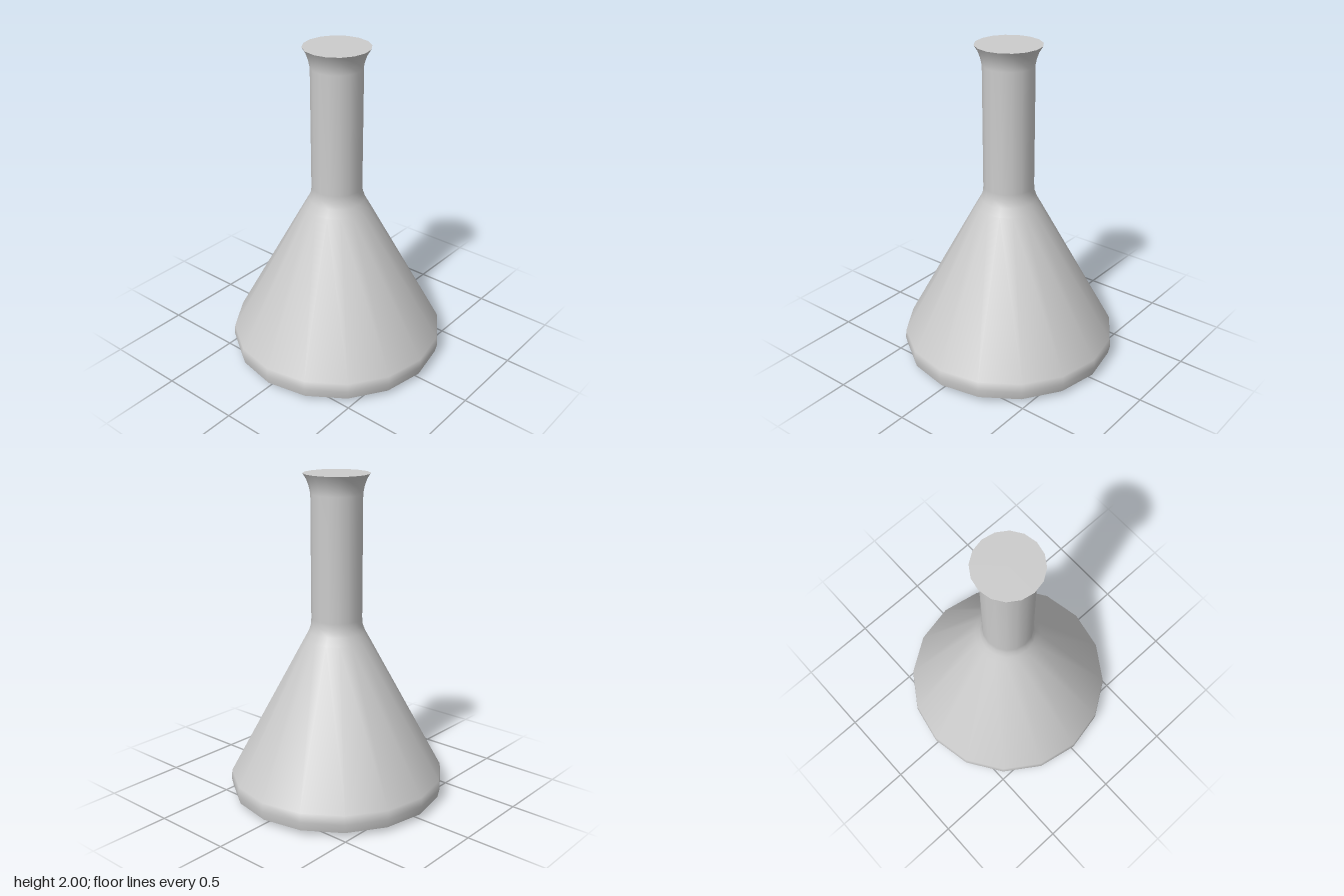
import * as THREE from 'three';

const SIDES = 16;

export function createModel() {
  const group = new THREE.Group();
  group.name = 'conicalFlask';
  const material = new THREE.MeshStandardMaterial({ color: 0xcccccc });

  // Turns a profile of [radius, height] pairs around the y axis
  const addTurned = (name, profile) => {
    const points = profile.map(([r, y]) => new THREE.Vector2(r, y));
    const mesh = new THREE.Mesh(new THREE.LatheGeometry(points, SIDES), material);
    mesh.name = name;
    group.add(mesh);
  };

  // Slightly chamfered underside, separate so its rim stays sharp
  addTurned('base', [[0, 0], [0.54, 0], [0.658, 0.03]]);

  // Rounded heel, conical body, straight neck and flared lip
  addTurned('bodyAndNeck', [
    [0.658, 0.03], [0.67, 0.085], [0.664, 0.14],
    [0.2, 1.0], [0.172, 1.05], [0.158, 1.09], [0.155, 1.13],
    [0.155, 1.88], [0.164, 1.925], [0.178, 1.965], [0.2, 2],
  ]);

  // Flat closed top
  addTurned('topCap', [[0.2, 2], [0, 2]]);

  return group;
}
